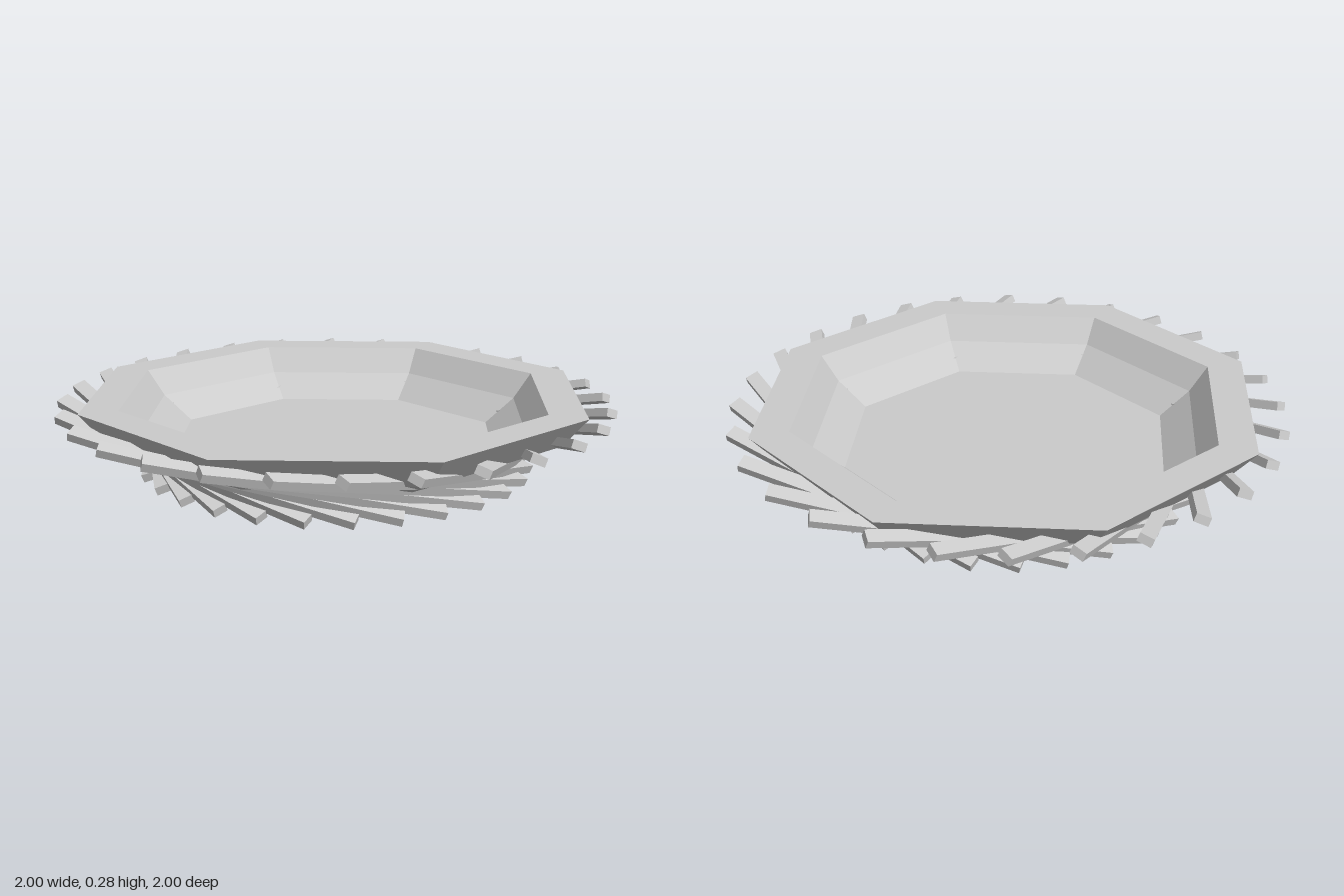
import * as THREE from 'three';

const material = new THREE.MeshStandardMaterial({ color: 0xcccccc, flatShading: true });

// Eight-sided bowl: underside, flat rim, sloping wall and floor in one closed profile
function makeBowl() {
  const profile = [
    [0, 0.003], [0.31, 0.01], [0.62, 0.08], [0.84, 0.175], [0.93, 0.28],
    [0.79, 0.28], [0.72, 0.19], [0.605, 0.105], [0, 0.105],
  ].map(([r, y]) => new THREE.Vector2(r, y));
  const bowl = new THREE.Mesh(new THREE.LatheGeometry(profile, 8), material);
  bowl.name = 'bowl';
  return bowl;
}

// Ring of straight slats leaning the same way, twisted round the bowl
function makeSlats() {
  const slats = new THREE.Group();
  slats.name = 'slatRing';
  const count = 28, roll = 0.35;
  const tip = new THREE.Vector3(0, 0.25, 0.98);
  const foot = new THREE.Vector3(0.64, 0.025, 0.25);
  const along = tip.clone().sub(foot);
  const length = along.length();
  along.normalize();

  // Broad face looks up and is rolled slightly outward
  const side = new THREE.Vector3(0, 1, 0).cross(along).normalize();
  const up = along.clone().cross(side);
  const outwardSign = Math.sign(side.dot(new THREE.Vector3(foot.x, 0, foot.z)));
  side.applyAxisAngle(along, outwardSign * roll);
  up.applyAxisAngle(along, outwardSign * roll);
  if (up.x * foot.x + up.z * foot.z < 0) {
    side.applyAxisAngle(along, -2 * outwardSign * roll);
    up.applyAxisAngle(along, -2 * outwardSign * roll);
  }

  const geometry = new THREE.BoxGeometry(0.05, 0.03, length);
  geometry.applyMatrix4(new THREE.Matrix4().makeBasis(side, up, along)
    .setPosition(tip.clone().add(foot).multiplyScalar(0.5)));

  for (let i = 0; i < count; i++) {
    const slat = new THREE.Mesh(geometry, material);
    slat.name = 'slat';
    slat.rotation.y = (i / count) * Math.PI * 2;
    slats.add(slat);
  }
  return slats;
}

export function createModel() {
  const model = new THREE.Group();
  model.name = 'slattedBowl';
  model.add(makeBowl(), makeSlats());
  return model;
}
